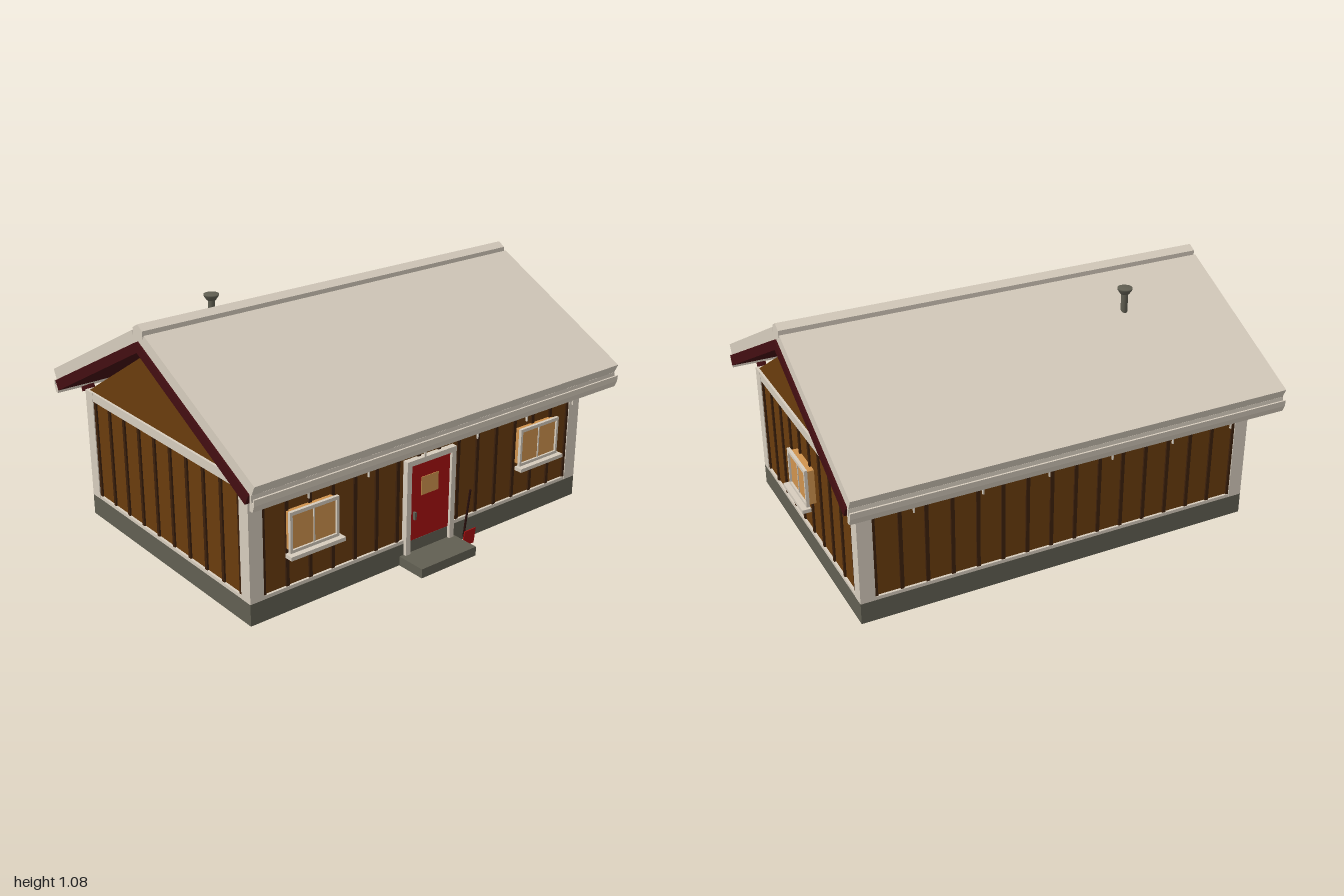
import * as THREE from 'three';

const mat = (name, color) => {
  const m = new THREE.MeshStandardMaterial({ color });
  m.name = name;
  return m;
};

export function createModel() {
  const cream = mat('cream', 0xd6ccbd);
  const brown = mat('brown boards', 0x6a3c0d);
  const darkBrown = mat('dark brown battens', 0x3c200b);
  const stone = mat('grey stone', 0x615f52);
  const red = mat('red paint', 0xa80f10);
  const darkRed = mat('dark red wood', 0x430e11);
  const glass = mat('amber glass', 0xd0934e);
  const black = mat('dark handle', 0x2a100d);

  const house = new THREE.Group();
  house.name = 'house';

  const add = (parent, name, geo, material) => {
    const m = new THREE.Mesh(geo, material);
    m.name = name;
    parent.add(m);
    return m;
  };
  // Box given by its min and max on each axis
  const box = (parent, name, material, x0, x1, y0, y1, z0, z1) => {
    const m = add(parent, name, new THREE.BoxGeometry(x1 - x0, y1 - y0, z1 - z0), material);
    m.position.set((x0 + x1) / 2, (y0 + y1) / 2, (z0 + z1) / 2);
    return m;
  };
  // Profile of [z, y] points extruded along x
  const along = (parent, name, material, pts, x0, x1) => {
    const shape = new THREE.Shape(pts.map(([z, y]) => new THREE.Vector2(z, y)));
    const geo = new THREE.ExtrudeGeometry(shape, { depth: x1 - x0, bevelEnabled: false });
    geo.rotateY(-Math.PI / 2);
    geo.translate(x1, 0, 0);
    return add(parent, name, geo, material);
  };
  const rod = (parent, name, material, a, b, r) => {
    const d = new THREE.Vector3().subVectors(b, a);
    const m = add(parent, name, new THREE.CylinderGeometry(r, r, d.length(), 8), material);
    m.position.copy(a).addScaledVector(d, 0.5);
    m.quaternion.setFromUnitVectors(new THREE.Vector3(0, 1, 0), d.normalize());
    return m;
  };

  // Foundation and wall core
  const X = 0.92, Z = 0.615;
  box(house, 'foundation', stone, -X, X, 0, 0.095, -Z, Z);
  box(house, 'walls', brown, -X + 0.012, X - 0.012, 0.095, 0.6, -Z + 0.012, Z - 0.012);
  along(house, 'gables', brown, [[-0.605, 0.6], [0.605, 0.6], [0, 0.968]], -X + 0.012, X - 0.012);

  // Corner boards, horizontal trim
  for (const sx of [-1, 1]) for (const sz of [-1, 1]) {
    const c = box(house, 'cornerBoard', cream, -0.0325, 0.0325, 0.095, 0.605, -0.03, 0.03);
    c.position.x = sx * (X - 0.0325);
    c.position.z = sz * (Z - 0.03);
  }
  for (const [name, y0, y1] of [['bottomTrim', 0.095, 0.11], ['topTrim', 0.565, 0.605]]) {
    for (const s of [-1, 1]) {
      box(house, name, cream, -0.86, 0.86, y0, y1, s * 0.607 - 0.007, s * 0.607 + 0.007);
      box(house, name, cream, s * 0.912 - 0.007, s * 0.912 + 0.007, y0, y1, -0.56, 0.56);
    }
  }

  // Vertical battens on all four walls
  for (const s of [-1, 1]) {
    for (let i = 0; i < 16; i++) {
      const x = -0.85 + (i * 1.7) / 15;
      box(house, 'batten', darkBrown, x - 0.008, x + 0.008, 0.11, 0.565, s * 0.606 - 0.005, s * 0.606 + 0.005);
    }
    for (let i = 0; i < 10; i++) {
      const z = -0.546 + (i * 1.092) / 9;
      box(house, 'batten', darkBrown, s * 0.911 - 0.005, s * 0.911 + 0.005, 0.11, 0.565, z - 0.008, z + 0.008);
    }
  }

  // Windows: local z = 0 is the wall face
  const makeWindow = (w) => {
    const g = new THREE.Group();
    g.name = 'window';
    const h = w / 2;
    box(g, 'pane', glass, -h + 0.008, h - 0.008, 0.278, 0.438, -0.012, 0.025);
    box(g, 'frameTop', cream, -h, h, 0.433, 0.448, 0.02, 0.034);
    box(g, 'frameBottom', cream, -h, h, 0.27, 0.285, 0.02, 0.034);
    for (const s of [-1, 1]) {
      box(g, 'frameSide', cream, s * (h - 0.006) - 0.006, s * (h - 0.006) + 0.006, 0.275, 0.44, 0.02, 0.034);
    }
    box(g, 'mullion', cream, -0.003, 0.003, 0.28, 0.438, 0.02, 0.029);
    box(g, 'sill', cream, -h - 0.014, h + 0.014, 0.255, 0.272, 0.018, 0.058);
    house.add(g);
    return g;
  };
  makeWindow(0.24).position.set(-0.63, 0, Z);
  makeWindow(0.24).position.set(0.63, 0, Z);
  const side = makeWindow(0.222);
  side.position.set(X, 0, 0);
  side.rotation.y = Math.PI / 2;

  // Door with frame, light, handle and step
  box(house, 'door', red, -0.115, 0.112, 0.098, 0.452, 0.59, 0.618);
  for (const s of [-1, 1]) {
    box(house, 'doorFrameSide', cream, s * 0.125 - 0.0125, s * 0.125 + 0.0125, 0.043, 0.47, 0.6, 0.63);
  }
  box(house, 'doorFrameTop', cream, -0.1375, 0.1375, 0.448, 0.472, 0.6, 0.63);
  box(house, 'doorWindow', glass, -0.05, 0.046, 0.295, 0.378, 0.615, 0.621);
  box(house, 'doorHandle', stone, -0.092, -0.082, 0.195, 0.23, 0.615, 0.631);
  box(house, 'step', stone, -0.16, 0.15, 0, 0.042, 0.6, 0.755);

  // Shovel leaning by the door
  rod(house, 'shovelHandle', black, new THREE.Vector3(0.183, 0.27, 0.675),
    new THREE.Vector3(0.19, 0.03, 0.638), 0.005);
  along(house, 'shovelBlade', red, [[0.681, 0.08], [0.676, 0.08], [0.665, 0.004], [0.671, 0.004]], 0.155, 0.22);

  // Roof slopes, mirrored front to back
  for (const s of [-1, 1]) {
    const slope = (name, material, pts, hx) =>
      along(house, name, material, pts.map(([z, y]) => [s * z, y]), -hx, hx);
    slope('roofSlab', cream, [[0.046, 1.045], [0.764, 0.673], [0.742, 0.627], [0.022, 0.999]], 0.99);
    slope('roofUnderside', darkRed, [[0, 1.01], [0.737, 0.63], [0.715, 0.588], [0, 0.965]], 1);
    // Gutter and its fascia
    slope('gutter', cream, [[0.735, 0.632], [0.745, 0.632], [0.747, 0.604], [0.757, 0.604],
      [0.757, 0.622], [0.765, 0.622], [0.763, 0.596], [0.752, 0.568], [0.735, 0.568]], 0.993);
    for (let i = 0; i < 15; i++) {
      const x = -0.875 + i * 0.125;
      along(house, 'rafterTail', darkRed,
        [[0.723, 0.575], [0.637, 0.616], [0.628, 0.599], [0.715, 0.555]].map(([z, y]) => [s * z, y]),
        x - 0.01, x + 0.01);
    }
    for (let i = 0; i < 6; i++) {
      const x = -0.73 + i * 0.292;
      box(house, 'gutterBracket', cream, x - 0.003, x + 0.003, 0.54, 0.572, s * 0.739 - 0.004, s * 0.739 + 0.004);
    }
  }
  along(house, 'ridgeCap', cream, [[0, 1.08], [0.035, 1.06], [0.035, 1.008], [0.02, 0.995], [0, 1.012],
    [-0.02, 0.995], [-0.035, 1.008], [-0.035, 1.06]], -0.99, 0.99);

  // Flue pipe with flared cap
  const flue = [[0, 0.9], [0.015, 0.9], [0.015, 1.018], [0.02, 1.02], [0.033, 1.04], [0.033, 1.047], [0, 1.047]];
  const profile = flue.map(([r, y]) => new THREE.Vector2(r, y));
  const pipe = add(house, 'fluePipe', new THREE.LatheGeometry(profile, 20), stone);
  pipe.position.set(-0.488, 0, -0.245);

  return house;
}
